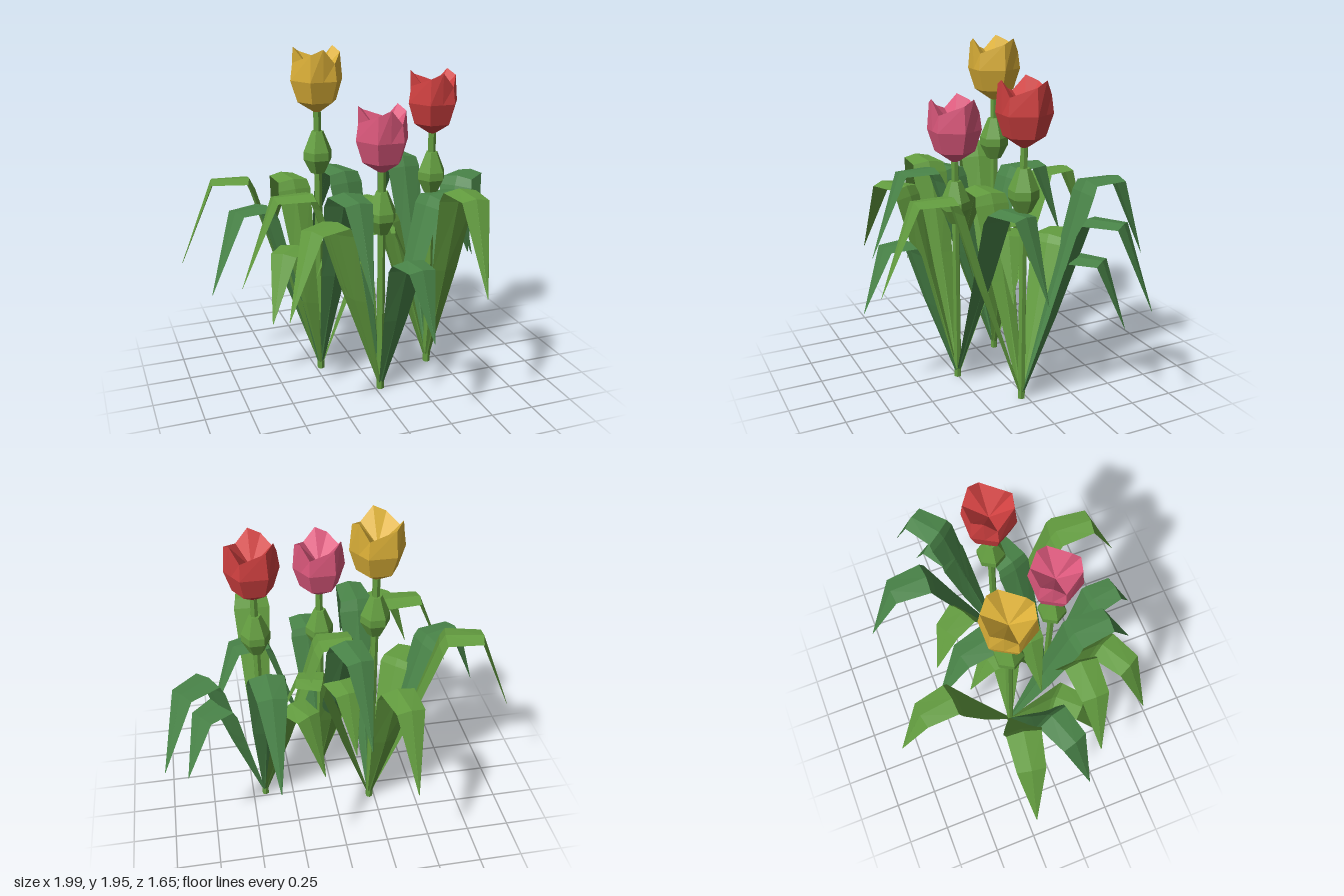
import * as THREE from 'three';

const paint = (name, color) => {
  const m = new THREE.MeshStandardMaterial({ color, flatShading: true });
  m.name = name;
  return m;
};

// Joins rows of points (all the same length) into a skin
function skin(rows, closed) {
  const n = rows[0].length, idx = [];
  for (let i = 0; i < rows.length - 1; i++) {
    for (let j = 0; j < (closed ? n : n - 1); j++) {
      const a = i * n + j, b = i * n + (j + 1) % n;
      idx.push(a, b, b + n, a, b + n, a + n);
    }
  }
  const g = new THREE.BufferGeometry();
  g.setAttribute('position', new THREE.Float32BufferAttribute(rows.flat(2), 3));
  g.setIndex(idx);
  const flat = g.toNonIndexed();
  flat.computeVertexNormals();
  return flat;
}

// Arching leaf growing along +x: thin blade with a raised midrib and a slight keel
// Each station: distance out, height, half width, direction of the upper side (out, up)
function leafGeometry(scale) {
  const stations = [
    [0, 0.03, 0.01, -0.005, 0.002],
    [0.235, 0.72, 0.075, -0.014, 0.005],
    [0.375, 1.175, 0.106, -0.014, 0.008],
    [0.4, 1.23, 0.095, -0.008, 0.016],
    [0.6, 1.23, 0.078, 0.006, 0.016],
    [0.79, 0.76, 0.002, 0.001, 0.001],
  ];
  return skin(stations.map(([r, y, w, ur, uy]) => [
    [(r + ur) * scale, (y + uy) * scale, 0],
    [r * scale, y * scale, w],
    [(r - ur) * scale, (y - uy) * scale, 0],
    [r * scale, y * scale, -w],
  ]), true);
}

// One petal, a third of a six-sided cup, with a lopsided point over one side
function petalGeometry() {
  const flat = Math.cos(Math.PI / 6);
  // angle from +x towards +z, share of the corner radius, height of the rim
  const columns = [[180, 1, 0.285], [120, 1, 0.335], [90, flat, 0.365], [60, 1, 0.285]];
  const point = (degrees, r, y) => {
    const a = THREE.MathUtils.degToRad(degrees);
    return [r * Math.cos(a), y, r * Math.sin(a)];
  };
  const rings = [[0.004, 0], [0.112, 0.07], [0.15, 0.19]];
  return skin([
    ...rings.map(([r, y]) => columns.map(([a, k]) => point(a, r * k, y))),
    columns.map(([a, k, top]) => point(a, (k === 1 ? 0.137 : 0.132), top)),
    columns.map(([a]) => point(a, 0, 0.2)), // folds in to the heart of the flower
  ], false);
}

export function createModel() {
  const model = new THREE.Group();
  model.name = 'tulipCluster';

  const light = paint('lightGreen', 0x649e40);
  const dark = paint('darkGreen', 0x4a8549);
  const yellow = paint('yellowPetal', 0xdcb038);
  const pink = paint('pinkPetal', 0xdc587c);
  const red = paint('redPetal', 0xd04040);

  const leaves = { tall: leafGeometry(1), middle: leafGeometry(0.91), low: leafGeometry(0.735) };
  const petal = petalGeometry();
  const bud = new THREE.LatheGeometry(
    [[0, 0], [0.042, 0.01], [0.083, 0.09], [0.083, 0.135], [0.035, 0.25], [0, 0.25]]
      .map(([r, y]) => new THREE.Vector2(r, y)), 6);

  // Leaf angles are measured in degrees from +x towards +z
  const plants = [
    { name: 'yellowTulip', x: -0.22, z: -0.11, top: 1.6, color: yellow, leaves: [
      ['tall', 190, light], ['tall', 87, dark], ['middle', 262, light],
      ['middle', 161, dark], ['low', 133, light], ['low', 15, light]] },
    { name: 'pinkTulip', x: 0.03, z: 0.25, top: 1.32, color: pink, leaves: [
      ['tall', 180, light], ['tall', 258, dark], ['middle', 342, dark],
      ['middle', 151, light], ['low', 83, dark], ['low', 258, light]] },
    { name: 'redTulip', x: 0.425, z: 0.03, top: 1.46, color: red, leaves: [
      ['tall', 92, light], ['tall', 268, dark], ['middle', 322, dark],
      ['middle', 177, light], ['low', 238, light], ['low', 321, dark]] },
  ];

  const stemFoot = 0.02;
  for (const p of plants) {
    const plant = new THREE.Group();
    plant.name = p.name;
    plant.position.set(p.x, 0, p.z);
    const add = (name, geometry, material, y = 0, degrees = 0) => {
      const mesh = new THREE.Mesh(geometry, material);
      mesh.name = name;
      mesh.position.y = y;
      mesh.rotation.y = -THREE.MathUtils.degToRad(degrees);
      plant.add(mesh);
    };

    // Stem with the bud around it
    const height = p.top + 0.01 - stemFoot;
    add('stem', new THREE.CylinderGeometry(0.022, 0.022, height, 6), light, stemFoot + height / 2);
    add('bud', bud, light, p.top - 0.35, 30);

    // Cup of three petals
    for (const angle of [0, 120, 240]) add('petal', petal, p.color, p.top, angle);

    // Leaves
    for (const [size, angle, green] of p.leaves) add(size + 'Leaf', leaves[size], green, 0, angle);
    model.add(plant);
  }
  return model;
}
